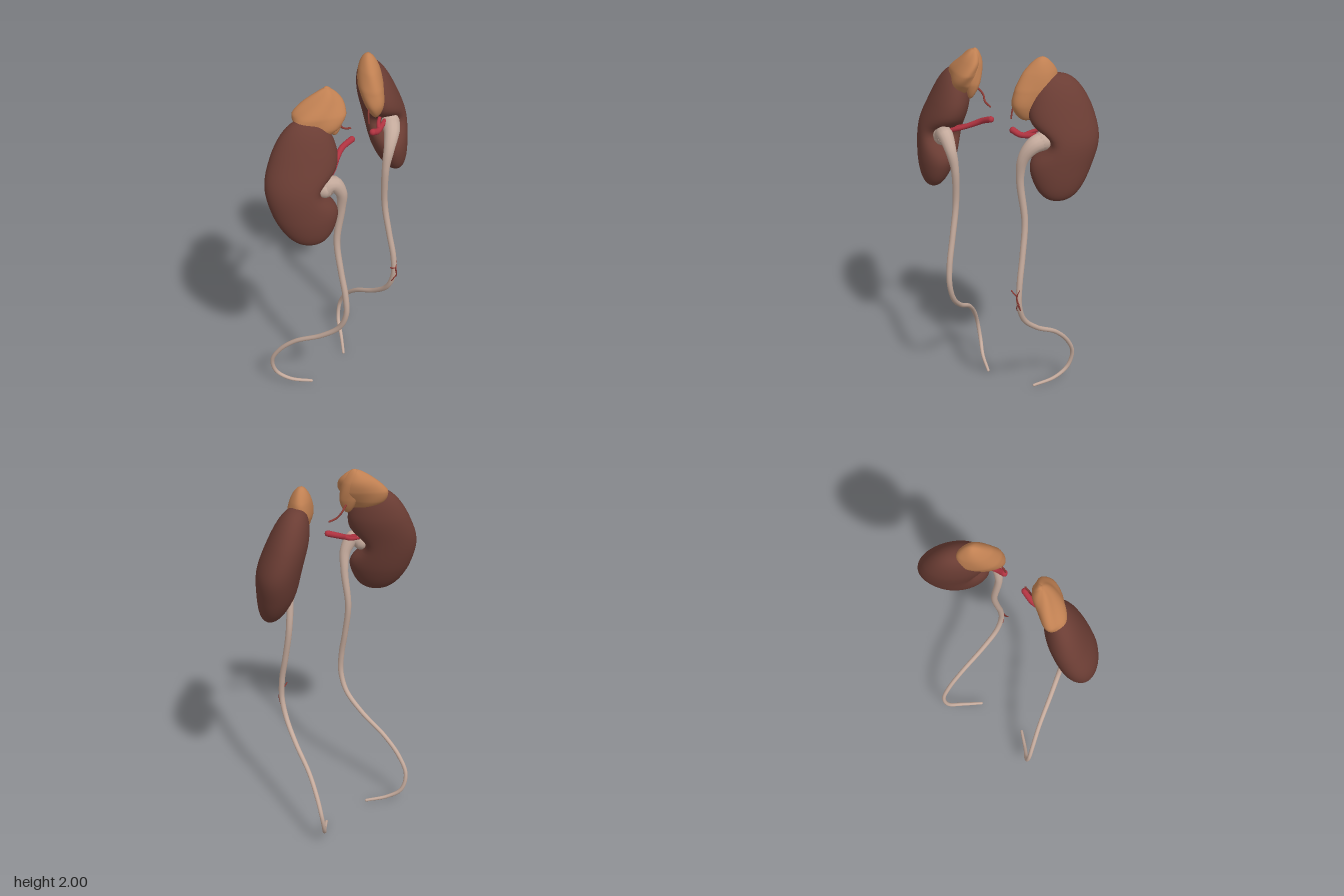
import * as THREE from 'three';

const mat = (name, color) => {
  const m = new THREE.MeshStandardMaterial({ color });
  m.name = name;
  return m;
};
const curveOf = pts => new THREE.CatmullRomCurve3(pts.map(p => new THREE.Vector3(...p)));

// Value of an evenly spaced list at t in 0..1
function sample(list, t) {
  const f = t * (list.length - 1);
  const i = Math.min(Math.floor(f), list.length - 2);
  return list.length === 1 ? list[0] : THREE.MathUtils.lerp(list[i], list[i + 1], f - i);
}

// Closed organ made of horizontal elliptical slices along a spine, top to bottom.
// a: half widths from hilum to outer edge, b: half thicknesses, side: +1 left, -1 right
function organ({ side, spine, a, b, round = 1, notch = 0, notchY = 0, lump = 0 }) {
  const rows = 48, segs = 48, pos = [], idx = [];
  const curve = curveOf(spine);
  for (let i = 0; i <= rows; i++) {
    const th = Math.PI * i / rows;
    const t = (1 - Math.cos(th)) / 2;
    const c = curve.getPoint(t);
    const e = i === 0 || i === rows ? 0 : Math.sin(th) ** round;
    const dent = notch * Math.exp(-(((c.y - notchY) / 0.065) ** 2));
    for (let j = 0; j < segs; j++) {
      const f = side * 2 * Math.PI * j / segs;
      const k = e * (1 + lump * Math.sin(4 * f + 7 * t));
      const u = k * sample(a, t) * Math.cos(f) * (1 - dent * Math.max(0, -Math.cos(f)));
      const v = k * sample(b, t) * Math.sin(f);
      pos.push(c.x + side * 0.707 * (u + v), c.y, c.z + 0.707 * (v - u));
    }
  }
  for (let i = 0; i < rows; i++) {
    for (let j = 0; j < segs; j++) {
      const p = i * segs + j, q = i * segs + (j + 1) % segs;
      if (i > 0) idx.push(p, q, p + segs);
      if (i < rows - 1) idx.push(q, q + segs, p + segs);
    }
  }
  const g = new THREE.BufferGeometry();
  g.setAttribute('position', new THREE.Float32BufferAttribute(pos, 3));
  g.setIndex(idx);
  g.computeVertexNormals();
  return g;
}

// Tube whose radius follows a list given per path point
function taperTube(pts, radii, steps, sides = 14) {
  const curve = curveOf(pts);
  const g = new THREE.TubeGeometry(curve, steps, 1, sides, false);
  const p = g.attributes.position, v = new THREE.Vector3();
  for (let i = 0; i <= steps; i++) {
    const c = curve.getPointAt(i / steps);
    const r = sample(radii, curve.getUtoTmapping(i / steps));
    for (let j = 0; j <= sides; j++) {
      const n = i * (sides + 1) + j;
      v.fromBufferAttribute(p, n).sub(c).multiplyScalar(r).add(c);
      p.setXYZ(n, v.x, v.y, v.z);
    }
  }
  return g;
}

export function createModel() {
  const model = new THREE.Group();
  model.name = 'urinaryOrgans';
  const kidneyMat = mat('kidney brown', 0x6b3d34);
  const adrenalMat = mat('adrenal tan', 0xc08052);
  const ureterMat = mat('ureter beige', 0xc4aa9c);
  const arteryMat = mat('artery red', 0xaf3340);
  const vesselMat = mat('small vessel red', 0x8a3a34);

  const add = (name, geometry, material) => {
    const m = new THREE.Mesh(geometry, material);
    m.name = name;
    model.add(m);
    return m;
  };
  // Vessel with rounded ends
  const vessel = (name, pts, radii, material, steps = 24) => {
    const m = add(name, taperTube(pts, radii, steps), material);
    [[pts[0], radii[0]], [pts.at(-1), radii.at(-1)]].forEach(([p, r]) => {
      const cap = new THREE.Mesh(new THREE.SphereGeometry(r, 14, 10), material);
      cap.name = name + 'End';
      cap.position.set(...p);
      m.add(cap);
    });
  };

  // Kidneys
  add('leftKidney', organ({
    side: 1, round: 0.8, notch: 0.5, notchY: 1.6,
    spine: [[0.28, 1.915, -0.015], [0.315, 1.76, 0.005], [0.355, 1.605, 0.03], [0.353, 1.45, 0.065], [0.365, 1.3, 0.1]],
    a: [0.17, 0.178, 0.175, 0.172, 0.165], b: [0.11, 0.112, 0.112, 0.108, 0.1],
  }), kidneyMat);
  add('rightKidney', organ({
    side: -1, round: 0.8, notch: 0.5, notchY: 1.52,
    spine: [[-0.27, 1.86, 0.025], [-0.305, 1.7, 0.035], [-0.355, 1.545, 0.05], [-0.362, 1.385, 0.085], [-0.37, 1.23, 0.12]],
    a: [0.17, 0.178, 0.175, 0.178, 0.17], b: [0.105, 0.11, 0.11, 0.108, 0.1],
  }), kidneyMat);

  // Adrenal glands
  add('leftAdrenal', organ({
    side: 1, lump: 0.025,
    spine: [[0.22, 2.0, 0.02], [0.215, 1.93, 0.03], [0.203, 1.85, 0.05], [0.183, 1.77, 0.085], [0.18, 1.69, 0.1]],
    a: [0.07, 0.095, 0.108, 0.1, 0.09], b: [0.055, 0.06, 0.065, 0.06, 0.05],
  }), adrenalMat);
  add('rightAdrenal', organ({
    side: -1, lump: 0.07,
    spine: [[-0.15, 1.985, 0.05], [-0.17, 1.93, 0.045], [-0.202, 1.87, 0.045], [-0.22, 1.81, 0.05], [-0.22, 1.75, 0.06]],
    a: [0.07, 0.1, 0.128, 0.135, 0.12], b: [0.05, 0.06, 0.07, 0.07, 0.06],
  }), adrenalMat);
  add('rightAdrenalFold', organ({
    side: -1, lump: 0.05,
    spine: [[-0.145, 1.99, 0.045], [-0.138, 1.92, 0.055], [-0.138, 1.82, 0.08], [-0.145, 1.74, 0.095]],
    a: [0.04, 0.05, 0.052, 0.04], b: [0.035, 0.036, 0.036, 0.03],
  }), adrenalMat);

  // Ureters: shared lower course, each with its own funnel at the hilum
  const lower = s => [
    [s * 0.205, 1.16, 0.155], [s * 0.21, 0.98, 0.185], [s * 0.212, 0.83, 0.217], [s * 0.212, 0.71, 0.222],
    [s * 0.217, 0.6, 0.18], [s * 0.24, 0.5, 0.075], [s * 0.275, 0.4, -0.08], [s * 0.3, 0.3, -0.175],
    [s * 0.309, 0.2, -0.224], [s * 0.285, 0.1, -0.215], [s * 0.235, 0.042, -0.155], [s * 0.15, 0.009, -0.072],
  ];
  const lowerRadii = [0.017, 0.016, 0.016, 0.015, 0.014, 0.013, 0.012, 0.012, 0.011, 0.011, 0.01, 0.008];
  vessel('leftUreter',
    [[0.285, 1.61, 0.12], [0.25, 1.59, 0.155], [0.205, 1.52, 0.175], [0.184, 1.4, 0.17], ...lower(1)],
    [0.048, 0.042, 0.029, 0.02, ...lowerRadii], ureterMat, 150);
  vessel('rightUreter',
    [[-0.285, 1.525, 0.14], [-0.255, 1.545, 0.165], [-0.212, 1.48, 0.185], [-0.194, 1.37, 0.175], ...lower(-1)],
    [0.05, 0.042, 0.03, 0.021, ...lowerRadii], ureterMat, 150);

  // Renal arteries, each with a short branch
  vessel('leftRenalArtery', [[0.25, 1.63, 0.11], [0.205, 1.62, 0.12], [0.16, 1.62, 0.13], [0.12, 1.635, 0.13]],
    [0.012, 0.013, 0.015, 0.017], arteryMat);
  vessel('leftArteryBranch', [[0.18, 1.62, 0.125], [0.21, 1.635, 0.1], [0.25, 1.65, 0.08]], [0.011, 0.01, 0.008], arteryMat);
  vessel('rightRenalArtery', [[-0.25, 1.56, 0.14], [-0.19, 1.58, 0.125], [-0.13, 1.605, 0.1], [-0.08, 1.63, 0.09], [-0.02, 1.655, 0.105]],
    [0.011, 0.012, 0.014, 0.015, 0.016], arteryMat);
  vessel('rightArteryBranch', [[-0.11, 1.615, 0.095], [-0.16, 1.59, 0.09], [-0.23, 1.57, 0.1]], [0.012, 0.011, 0.008], arteryMat);

  // Fine vessels of the adrenals
  vessel('leftAdrenalVessel', [[0.125, 1.78, 0.1], [0.108, 1.74, 0.11], [0.103, 1.69, 0.118]], [0.004, 0.004, 0.004], vesselMat);
  vessel('rightAdrenalVessel', [[-0.12, 1.8, 0.075], [-0.085, 1.765, 0.07], [-0.065, 1.735, 0.085], [-0.027, 1.72, 0.1]],
    [0.006, 0.005, 0.005, 0.005], vesselMat);

  // Fine branching vessel on the left ureter
  vessel('ureterVessel', [[0.22, 0.8, 0.232], [0.208, 0.76, 0.238], [0.218, 0.71, 0.236], [0.222, 0.655, 0.212]],
    [0.003, 0.005, 0.005, 0.003], vesselMat);
  vessel('ureterVesselTwig', [[0.17, 0.785, 0.229], [0.19, 0.768, 0.23], [0.21, 0.765, 0.238]], [0.003, 0.004, 0.004], vesselMat);
  vessel('ureterVesselTwig', [[0.218, 0.72, 0.237], [0.204, 0.695, 0.232], [0.2, 0.67, 0.22]], [0.004, 0.003, 0.003], vesselMat);

  return model;
}
